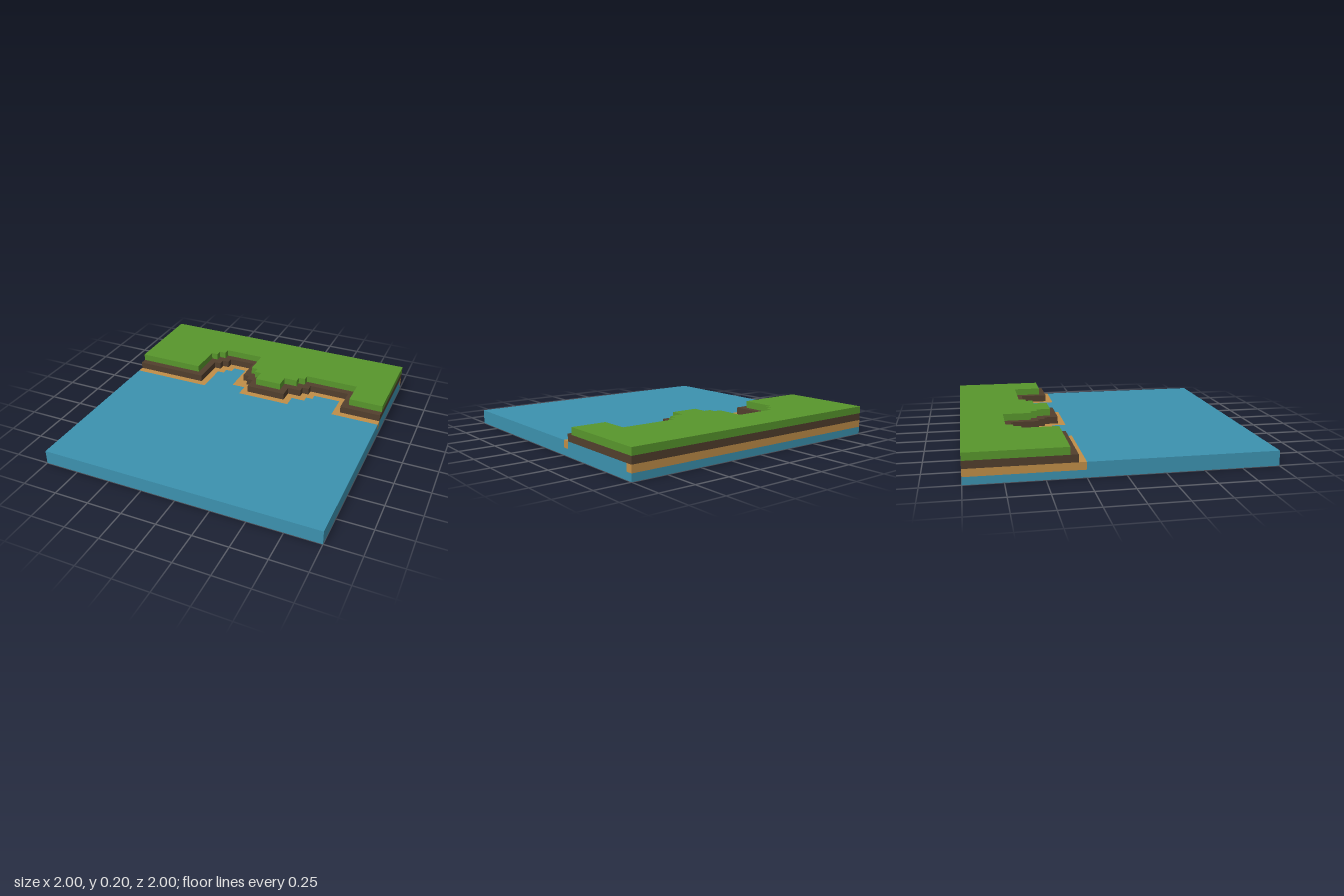
import * as THREE from 'three';

const flat = (name, color) => {
  const m = new THREE.MeshStandardMaterial({ color });
  m.name = name;
  return m;
};

// Turn [end x, z] runs into a stepped shoreline from x = -1 to x = 1
function shoreline(runs) {
  const points = [];
  let x = -1;
  for (const [end, z] of runs) {
    points.push([x, z], [end, z]);
    x = end;
  }
  return points;
}

// Raise an outline of [x, z] corners into a layer one step thick
function layer(name, outline, bottom, material) {
  const shape = new THREE.Shape(outline.map(([x, z]) => new THREE.Vector2(x, -z)));
  const geometry = new THREE.ExtrudeGeometry(shape, { depth: 0.05, bevelEnabled: false });
  geometry.rotateX(-Math.PI / 2);
  const mesh = new THREE.Mesh(geometry, material);
  mesh.name = name;
  mesh.position.y = bottom;
  return mesh;
}

export function createModel() {
  const group = new THREE.Group();
  group.name = 'coastTile';
  const grass = flat('grassGreen', 0x58962c);
  const soil = flat('soilBrown', 0x523f2d);
  const sand = flat('sandTan', 0xc08e48);
  const water = flat('waterBlue', 0x3c92af);

  const grassEdge = shoreline([
    [-0.5, -0.35], [-0.45, -0.6], [-0.4, -0.65], [-0.1, -0.7], [-0.05, -0.5], [0, -0.45],
    [0.2, -0.35], [0.3, -0.45], [0.35, -0.5], [0.75, -0.55], [1, -0.35],
  ]);
  const soilEdge = shoreline([
    [-0.45, -0.3], [-0.4, -0.55], [-0.35, -0.6], [-0.15, -0.65], [-0.1, -0.45], [-0.05, -0.4],
    [0.25, -0.3], [0.35, -0.4], [0.4, -0.45], [0.7, -0.5], [1, -0.3],
  ]);
  const sandEdge = shoreline([
    [-0.4, -0.25], [-0.35, -0.5], [-0.3, -0.55], [-0.2, -0.6], [-0.1, -0.35],
    [0.3, -0.25], [0.4, -0.35], [0.45, -0.4], [0.65, -0.45], [1, -0.25],
  ]);
  const back = [[1, -1], [-1, -1]];
  const front = [[1, 1], [-1, 1]];
  // Slot in the left side of the sand, filled with water
  const slot = [[1, -0.3], [0.95, -0.3], [0.95, -0.95], [1, -0.95]];

  group.add(
    layer('waterBase', [...front, ...back.slice().reverse()], 0, water),
    layer('waterSurface', [...sandEdge, ...front], 0.05, water),
    layer('waterSlot', slot, 0.05, water),
    layer('beach', [...sandEdge, ...slot, ...back], 0.05, sand),
    layer('soilBank', [...soilEdge, ...back], 0.1, soil),
    layer('grassTop', [...grassEdge, ...back], 0.15, grass),
  );
  return group;
}
